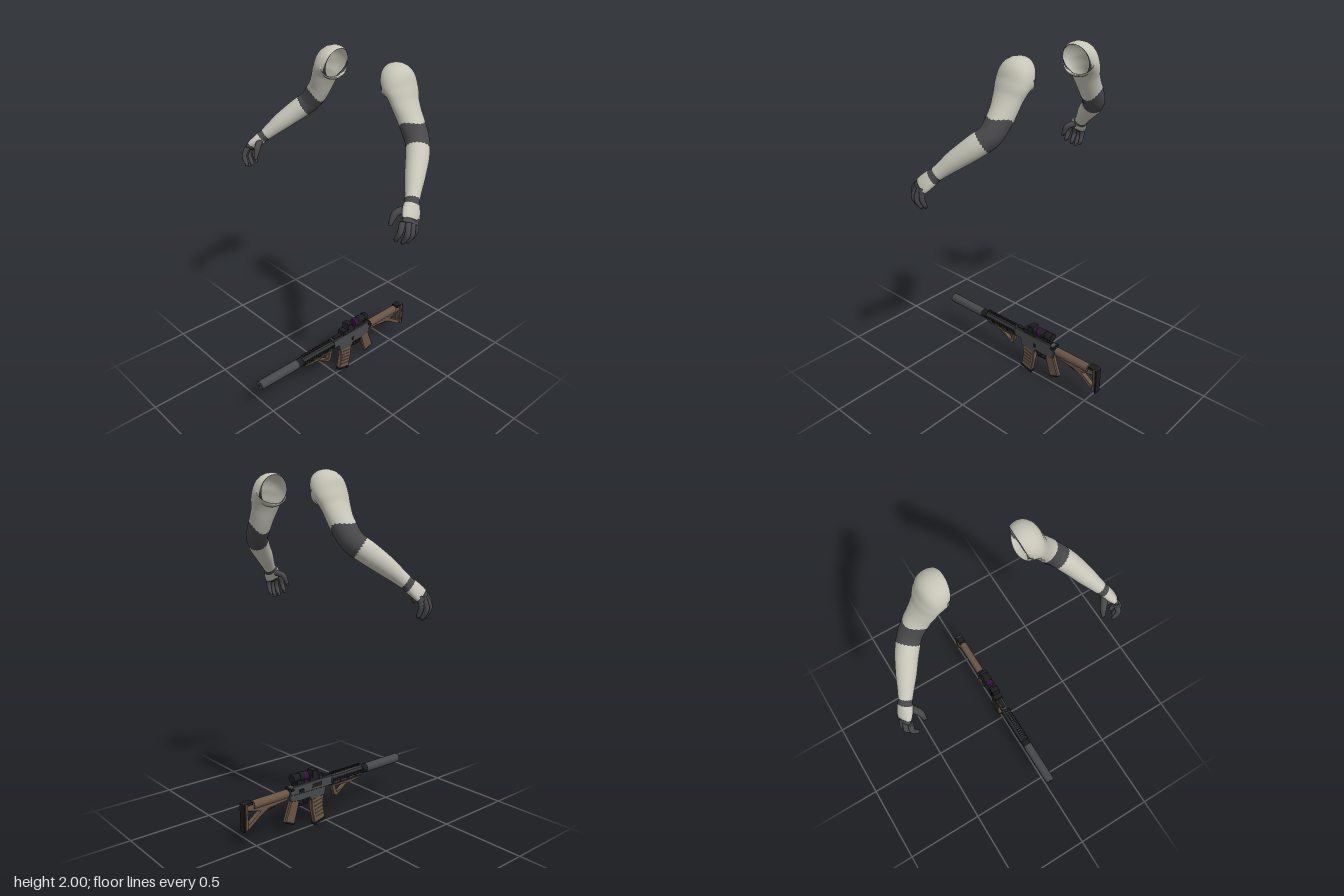
import * as THREE from 'three';

const mat = (name, color) => {
  const m = new THREE.MeshStandardMaterial({ color, side: THREE.DoubleSide });
  m.name = name;
  return m;
};

export function createModel() {
  const pale = mat('paleShell', 0xc6c5b7), dark = mat('darkJoint', 0x48484b);
  const steel = mat('gunGrey', 0x47484a), black = mat('gunBlack', 0x1d1d20);
  const brown = mat('stockBrown', 0x685442), tan = mat('magazineTan', 0x6b5a46);
  const rail = mat('railGrey', 0x303134), purple = mat('lensPurple', 0x35103f);
  const model = new THREE.Group();
  const sub = (name, parent = model) => {
    const g = new THREE.Group();
    g.name = name;
    parent.add(g);
    return g;
  };
  const add = (parent, name, geo, m) => {
    const o = new THREE.Mesh(geo, m);
    o.name = name;
    parent.add(o);
    return o;
  };

  // ---------- lofted limbs: points are [x, y, z, radius towards z, other radius] ----------
  function loft(pts, from, to, side, segs = 32, rows = 16, caps = false) {
    const path = new THREE.CatmullRomCurve3(pts.map(p => new THREE.Vector3(p[0], p[1], p[2])));
    const radii = new THREE.CatmullRomCurve3(pts.map(p => new THREE.Vector3(p[3], p[4], 0)));
    const last = pts.length - 1, pos = [], idx = [];
    for (let r = 0; r <= rows; r++) for (let s = 0; s < segs; s++) {
      const th = s / segs * Math.PI * 2;
      const a = from(th, s), t = Math.min(1, (a + (to(th, s) - a) * r / rows) / last);
      const T = path.getTangent(t), R = radii.getPoint(t);
      const A = new THREE.Vector3(0, 0, 1).addScaledVector(T, -T.z).normalize();
      const B = new THREE.Vector3().crossVectors(T, A);
      const p = path.getPoint(t).addScaledVector(A, R.x * Math.cos(th)).addScaledVector(B, R.y * Math.sin(th));
      pos.push(p.x * side, p.y, p.z);
    }
    const tri = (a, b, c) => side > 0 ? idx.push(a, b, c) : idx.push(a, c, b);
    for (let r = 0; r < rows; r++) for (let s = 0; s < segs; s++) {
      const a = r * segs + s, b = r * segs + (s + 1) % segs;
      tri(a, b, a + segs);
      tri(b, b + segs, a + segs);
    }
    if (caps) for (let s = 1; s < segs - 1; s++) {
      tri(0, s + 1, s);
      tri(rows * segs, rows * segs + s, rows * segs + s + 1);
    }
    const g = new THREE.BufferGeometry();
    g.setAttribute('position', new THREE.Float32BufferAttribute(pos, 3));
    g.setIndex(idx);
    g.computeVertexNormals();
    return g;
  }

  const armPts = [
    [0.203, 1.902, -0.195, 0.083, 0.086], [0.232, 1.907, -0.194, 0.099, 0.092],
    [0.272, 1.868, -0.193, 0.099, 0.064], [0.297, 1.82, -0.19, 0.086, 0.056],
    [0.33, 1.76, -0.19, 0.073, 0.058], [0.37, 1.70, -0.185, 0.066, 0.062],
    [0.408, 1.65, -0.172, 0.062, 0.06], [0.457, 1.60, -0.123, 0.06, 0.058],
    [0.515, 1.53, -0.045, 0.051, 0.05], [0.555, 1.477, 0.008, 0.04, 0.039],
    [0.58, 1.445, 0.04, 0.036, 0.033],
  ];
  const handPts = [
    [0.576, 1.45, 0.034, 0.037, 0.033], [0.592, 1.428, 0.056, 0.047, 0.032],
    [0.612, 1.402, 0.08, 0.051, 0.027], [0.63, 1.375, 0.102, 0.043, 0.017],
  ];
  // knuckle, middle joint and tip of each finger
  const fingers = {
    indexFinger: [[0.61, 1.392, 0.135], [0.617, 1.345, 0.155], [0.594, 1.298, 0.158]],
    middleFinger: [[0.627, 1.387, 0.112], [0.64, 1.33, 0.13], [0.615, 1.28, 0.13]],
    ringFinger: [[0.633, 1.387, 0.088], [0.645, 1.325, 0.102], [0.62, 1.275, 0.1]],
    littleFinger: [[0.63, 1.39, 0.065], [0.638, 1.335, 0.07], [0.62, 1.287, 0.07]],
    thumb: [[0.575, 1.425, 0.07], [0.543, 1.402, 0.112], [0.534, 1.35, 0.135]],
  };
  // bands of colour along the arm, with stepped edges at the elbow
  const jag = s => (s % 2) * 0.07;
  const edges = [
    () => 0,
    th => 0.25 + 0.45 * Math.max(0, Math.sin(th)),
    (th, s) => 4.65 - 0.25 * Math.cos(2 * th) + jag(s),
    (th, s) => 6.5 + jag(s),
    (th, s) => 9.55 + jag(s),
    () => 10,
  ];
  const bands = [['shoulderRim', dark, 4], ['upperArm', pale, 30], ['elbowJoint', dark, 14],
    ['forearm', pale, 22], ['wristBand', dark, 4]];
  for (const side of [1, -1]) {
    const arm = sub(side > 0 ? 'leftArm' : 'rightArm');
    bands.forEach(([name, m, rows], i) => add(arm, name, loft(armPts, edges[i], edges[i + 1], side, 40, rows), m));
    const hand = sub('hand', arm);
    add(hand, 'handCuff', loft(handPts, () => 0, (th, s) => 0.55 + jag(s), side, 24, 4), dark);
    add(hand, 'handBack', loft(handPts, (th, s) => 0.55 + jag(s), () => 2.45, side, 24, 10), pale);
    add(hand, 'knuckles', loft(handPts, () => 2.45, () => 3, side, 24, 4, true), dark);
    for (const [name, p] of Object.entries(fingers)) {
      const k = name === 'thumb' ? 1.25 : 1;
      const r = [0.0155 * k, 0.0145 * k, 0.011];
      const pts = p.map((q, i) => [...q, r[i], r[i]]);
      add(hand, name, loft(pts, () => 0, () => 2, side, 12, 10, true), dark);
      const tip = new THREE.SphereGeometry(0.0112, 12, 8);
      tip.translate(p[2][0] * side, p[2][1], p[2][2]);
      add(hand, name + 'Tip', tip, dark);
    }
  }

  // ---------- rifle, muzzle towards +z ----------
  const rifle = sub('rifle');
  const box = (name, m, w, h, d, x, y, z) => add(rifle, name, new THREE.BoxGeometry(w, h, d).translate(x, y, z), m);
  const rod = (name, m, r, z0, z1, y, x = 0, n = 24, r2 = r) => add(rifle, name,
    new THREE.CylinderGeometry(r, r2, z1 - z0, n).rotateX(Math.PI / 2).translate(x, y, (z0 + z1) / 2), m);
  // side outline in [z, y], extruded across x
  const slab = (name, m, w, outline, hole, bevel = 0.003) => {
    const v = a => a.map(p => new THREE.Vector2(p[0], p[1]));
    const s = new THREE.Shape(v(outline));
    if (hole) s.holes.push(new THREE.Path(v(hole)));
    const depth = w - 2 * bevel;
    const g = new THREE.ExtrudeGeometry(s, { depth, bevelEnabled: bevel > 0, bevelSize: bevel, bevelOffset: -bevel, bevelThickness: bevel, bevelSegments: 1 });
    return add(rifle, name, g.translate(0, 0, -depth / 2).rotateY(-Math.PI / 2), m);
  };

  // suppressor and barrel
  rod('suppressor', steel, 0.028, 0.312, 0.582, 0.253);
  rod('suppressorFrontRing', steel, 0.025, 0.58, 0.587, 0.253);
  rod('suppressorBore', black, 0.008, 0.585, 0.589, 0.253);
  rod('suppressorCollar', black, 0.0265, 0.276, 0.313, 0.253);
  rod('barrel', black, 0.012, 0.0, 0.28, 0.253);

  // handguard with rails on all four sides
  rod('handguard', rail, 0.027, 0.025, 0.272, 0.25, 0, 8);
  box('topRail', steel, 0.02, 0.014, 0.245, 0, 0.278, 0.15);
  box('bottomRail', black, 0.022, 0.014, 0.23, 0, 0.222, 0.15);
  for (let i = 0; i < 17; i++) {
    const z = 0.037 + i * 0.0142;
    box('topRailTooth', black, 0.022, 0.008, 0.007, 0, 0.287, z);
    for (const s of [1, -1]) box('sideRailTooth', black, 0.006, 0.018, 0.007, s * 0.027, 0.253, z);
  }
  for (const s of [1, -1]) for (let i = 0; i < 4; i++)
    box('handguardSlot', steel, 0.004, 0.009, 0.042, s * 0.0235, 0.236, 0.06 + i * 0.06);

  // angled foregrip
  slab('foregrip', brown, 0.026,
    [[0.262, 0.218], [0.035, 0.218], [0.04, 0.19], [0.052, 0.15], [0.072, 0.142], [0.16, 0.198], [0.25, 0.205]],
    [[0.15, 0.204], [0.06, 0.204], [0.075, 0.165]]);

  // receiver
  slab('upperReceiver', steel, 0.042, [[0.03, 0.285], [-0.255, 0.285], [-0.278, 0.27], [-0.278, 0.235], [0.03, 0.225]]);
  slab('lowerReceiver', steel, 0.036, [[-0.01, 0.24], [-0.28, 0.245], [-0.275, 0.2], [-0.2, 0.188], [-0.135, 0.19], [-0.125, 0.168], [-0.025, 0.178]]);
  box('receiverRail', black, 0.022, 0.01, 0.27, 0, 0.288, -0.115);
  box('ejectionPort', black, 0.006, 0.022, 0.07, -0.0205, 0.257, -0.085);
  box('forwardAssist', black, 0.014, 0.014, 0.03, -0.024, 0.252, -0.2);
  box('boltCatch', black, 0.006, 0.025, 0.015, 0.02, 0.225, -0.13);
  box('chargingHandle', black, 0.062, 0.012, 0.018, 0, 0.272, -0.268);
  slab('triggerGuard', black, 0.014, [[-0.125, 0.195], [-0.22, 0.195], [-0.205, 0.152], [-0.145, 0.152]],
    [[-0.138, 0.189], [-0.208, 0.189], [-0.198, 0.159], [-0.149, 0.159]], 0);
  box('trigger', black, 0.007, 0.026, 0.007, 0, 0.178, -0.17);

  // magazine with raised ribs and floor plate
  slab('magazine', tan, 0.032, [[-0.03, 0.19], [-0.122, 0.19], [-0.118, 0.11], [-0.098, 0.02], [-0.022, 0.038], [-0.036, 0.12]]);
  slab('magazineFloor', black, 0.035, [[-0.02, 0.04], [-0.102, 0.02], [-0.098, 0.004], [-0.017, 0.024]]);
  for (const s of [1, -1]) for (let i = 0; i < 5; i++) {
    const o = box('magazineRib', brown, 0.004, 0.007, 0.056, 0, 0, 0);
    o.position.set(s * 0.0165, 0.06 + i * 0.023, -0.064 - i * 0.003);
    o.rotation.x = -0.2;
  }

  // pistol grip
  slab('pistolGrip', brown, 0.03, [[-0.205, 0.195], [-0.27, 0.208], [-0.28, 0.175], [-0.312, 0.085], [-0.245, 0.056], [-0.222, 0.13]], null, 0.006);
  slab('gripBase', black, 0.028, [[-0.248, 0.06], [-0.31, 0.088], [-0.307, 0.079], [-0.249, 0.052]], null, 0.002);

  // stock
  rod('bufferTube', black, 0.019, -0.33, -0.27, 0.25);
  rod('stockTube', brown, 0.025, -0.52, -0.288, 0.25, 0, 16);
  slab('stockBody', brown, 0.028,
    [[-0.29, 0.24], [-0.29, 0.215], [-0.42, 0.205], [-0.47, 0.178], [-0.55, 0.12], [-0.585, 0.113], [-0.585, 0.272], [-0.53, 0.262], [-0.515, 0.272]],
    [[-0.475, 0.205], [-0.555, 0.226], [-0.56, 0.145]]);
  slab('stockLever', black, 0.02, [[-0.34, 0.218], [-0.45, 0.205], [-0.43, 0.188], [-0.36, 0.205]], null, 0.002);
  slab('buttPlate', brown, 0.046, [[-0.562, 0.272], [-0.578, 0.275], [-0.578, 0.118], [-0.56, 0.125]]);
  slab('buttPad', black, 0.044, [[-0.577, 0.274], [-0.588, 0.27], [-0.588, 0.114], [-0.577, 0.116]], null, 0.002);
  box('stockEndCap', black, 0.044, 0.014, 0.045, 0, 0.268, -0.552);

  // reflex sight
  box('sightBase', black, 0.048, 0.026, 0.095, 0, 0.302, -0.092);
  slab('sightHood', black, 0.05, [[-0.075, 0.31], [-0.128, 0.31], [-0.12, 0.35], [-0.085, 0.35]], [[-0.084, 0.315], [-0.12, 0.315], [-0.114, 0.343], [-0.09, 0.343]], 0.002);
  for (const s of [1, -1]) {
    box('sightSideWall', black, 0.005, 0.036, 0.038, s * 0.0235, 0.328, -0.102);
    box('sightKnob', rail, 0.008, 0.016, 0.02, s * 0.026, 0.302, -0.065);
  }
  box('sightGlass', purple, 0.042, 0.03, 0.003, 0, 0.328, -0.1);

  // magnifier behind the sight
  box('magnifierMount', black, 0.03, 0.03, 0.05, 0, 0.3, -0.2);
  rod('magnifierTube', black, 0.022, -0.252, -0.172, 0.327);
  rod('magnifierBell', black, 0.026, -0.205, -0.175, 0.327);
  rod('magnifierEyepiece', black, 0.026, -0.254, -0.232, 0.327);
  rod('magnifierRing', purple, 0.025, -0.176, -0.145, 0.325);
  box('magnifierFoot', purple, 0.03, 0.022, 0.028, 0, 0.3, -0.16);

  return model;
}
